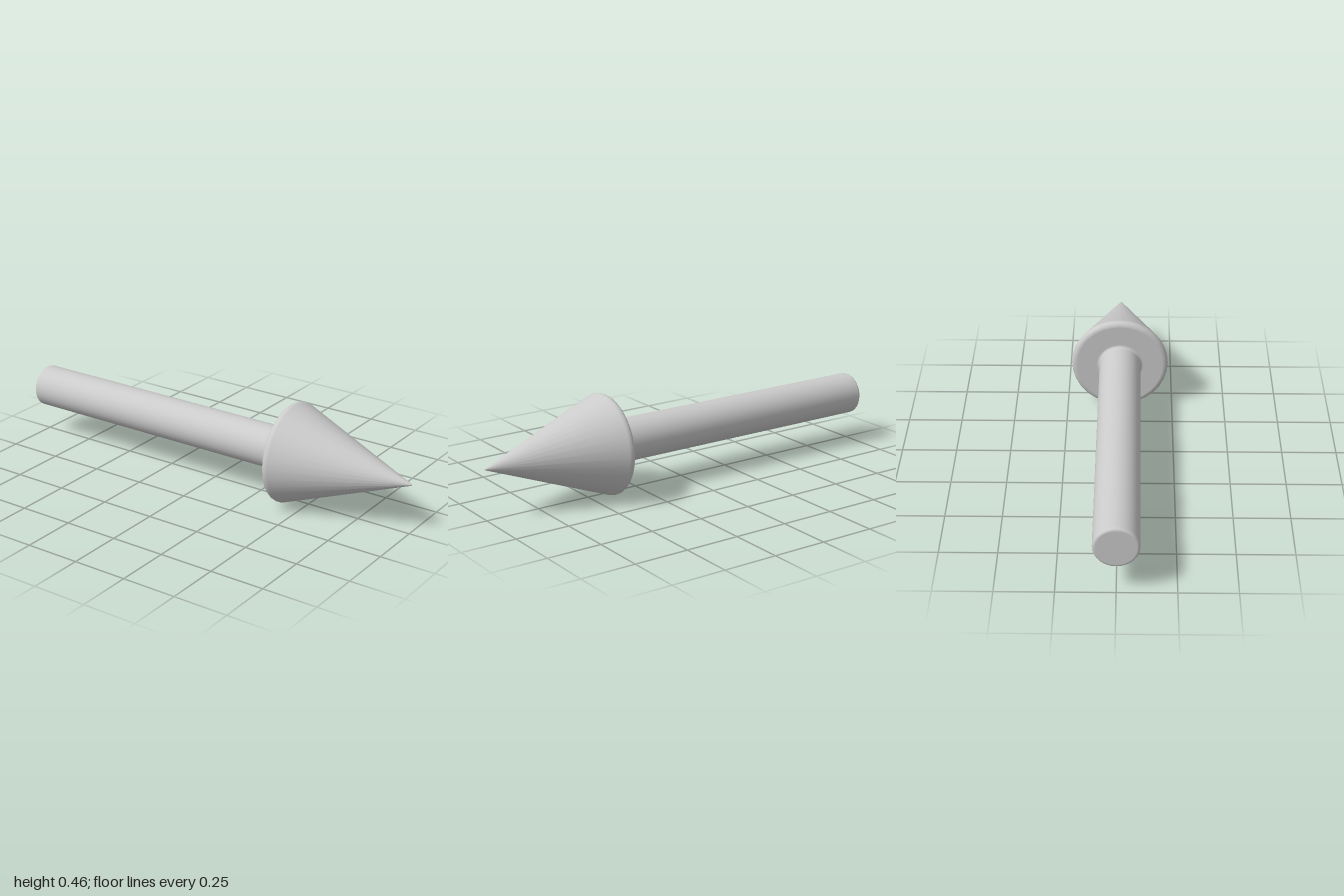
import * as THREE from 'three';

const SIDES = 32;
const HEAD_R = 0.228, SHAFT_R = 0.097;

// Rounded corner of the profile: points are (radius, distance along the arrow), angles in degrees.
function arc(r, along, size, from, to, steps = 5) {
  return Array.from({ length: steps + 1 }, (_, i) => {
    const a = THREE.MathUtils.degToRad(from + (to - from) * i / steps);
    return new THREE.Vector2(r + Math.sin(a) * size, along + Math.cos(a) * size);
  });
}

// Revolve a profile; points are doubled at the ends of long runs to keep them evenly shaded.
function turned(name, profile, material) {
  const points = [];
  profile.forEach((p, i) => {
    const prev = profile[i - 1], next = profile[i + 1];
    if (prev && prev.distanceTo(p) > 0.05) points.push(p.clone().lerp(prev, 0.002 / prev.distanceTo(p)));
    points.push(p);
    if (next && next.distanceTo(p) > 0.05) points.push(p.clone().lerp(next, 0.002 / next.distanceTo(p)));
  });
  const mesh = new THREE.Mesh(new THREE.LatheGeometry(points, SIDES), material);
  mesh.name = name;
  return mesh;
}

export function createModel() {
  const material = new THREE.MeshStandardMaterial({ color: 0xcccccc });
  const arrow = new THREE.Group();
  arrow.name = 'arrow';

  // Shaft: rounded tail edge, and a small fillet flaring into the head
  arrow.add(turned('shaft', [
    new THREE.Vector2(0, -1),
    ...arc(SHAFT_R - 0.012, -0.988, 0.012, 180, 90),
    ...arc(SHAFT_R + 0.012, 0.378, 0.012, 270, 360),
  ], material));

  // Head: flat back, rounded rim, long cone with a tiny blunted tip
  arrow.add(turned('head', [
    new THREE.Vector2(SHAFT_R + 0.012, 0.39),
    ...arc(HEAD_R - 0.022, 0.412, 0.022, 180, 68.7),
    ...arc(0, 0.996, 0.004, 68.7, 0, 3),
  ], material));

  // Lay the arrow along +x, resting on the ground
  arrow.rotation.z = -Math.PI / 2;
  arrow.position.y = HEAD_R;

  const model = new THREE.Group();
  model.add(arrow);
  return model;
}
